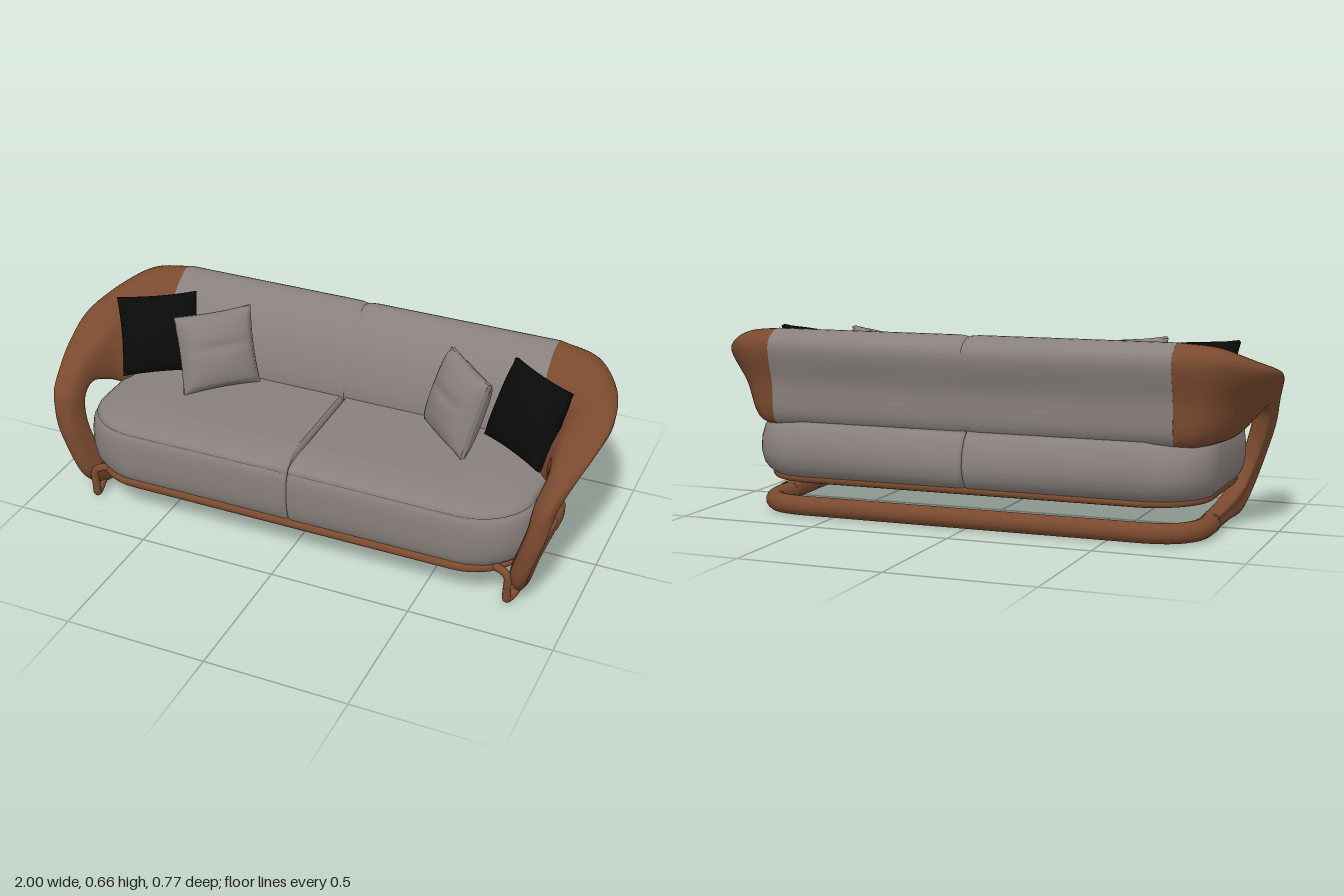
import * as THREE from 'three';

const mat = (name, color) => Object.assign(new THREE.MeshStandardMaterial({ color }), { name });
const V = (x, y, z) => new THREE.Vector3(x, y, z);

// Skin closed rings of points, cap both ends, and turn all faces outward
function loft(rings) {
  const n = rings[0].length, pos = [], idx = [];
  rings.forEach(r => r.forEach(p => pos.push(p.x, p.y, p.z)));
  for (let i = 0; i < rings.length - 1; i++) for (let j = 0; j < n; j++) {
    const a = i * n + j, b = i * n + (j + 1) % n;
    idx.push(a, b, b + n, a, b + n, a + n);
  }
  [rings[0], rings[rings.length - 1]].forEach((r, end) => {
    const s = pos.length / 3, c = V(0, 0, 0);
    r.forEach(p => { pos.push(p.x, p.y, p.z); c.addScaledVector(p, 1 / n); });
    pos.push(c.x, c.y, c.z);
    for (let j = 0; j < n; j++) {
      const a = s + j, b = s + (j + 1) % n;
      if (end) idx.push(a, b, s + n); else idx.push(b, a, s + n);
    }
  });
  const at = i => V(pos[3 * i], pos[3 * i + 1], pos[3 * i + 2]);
  let volume = 0;
  for (let i = 0; i < idx.length; i += 3) volume += at(idx[i]).dot(at(idx[i + 1]).cross(at(idx[i + 2])));
  if (volume < 0) idx.reverse();
  const g = new THREE.BufferGeometry();
  g.setAttribute('position', new THREE.Float32BufferAttribute(pos, 3));
  g.setIndex(idx);
  g.computeVertexNormals();
  return g;
}

// Horizontal rounded rectangle with its own corner radius at each x end
function planRing(x0, x1, z0, z1, r0, r1, y) {
  const pts = [];
  [[x1 - r1, z1 - r1, r1], [x0 + r0, z1 - r0, r0], [x0 + r0, z0 + r0, r0], [x1 - r1, z0 + r1, r1]]
    .forEach(([cx, cz, r], q) => {
      for (let i = 0; i <= 10; i++) {
        const a = (q + i / 10) * Math.PI / 2;
        pts.push(V(cx + r * Math.cos(a), y, cz + r * Math.sin(a)));
      }
    });
  return pts;
}

const closedSection = pts =>
  new THREE.CatmullRomCurve3(pts, true, 'centripetal').getPoints(36).slice(0, -1);

// Arm stations from the back, round the side, down the leg and along the base:
// outer lower edge xyz, outer upper edge xyz, top thickness, ridge height
const armStations = [
  [.72, .33, -.335, .72, .615, -.382, .215, .045],
  [.79, .33, -.30, .865, .61, -.337, .21, .036],
  [.845, .33, -.19, .96, .575, -.22, .185, .032],
  [.86, .33, 0, 1, .547, -.04, .16, .016],
  [.885, .368, .095, .985, .515, .10, .125, .013],
  [.91, .40, .19, .96, .475, .22, .09, .023],
  [.905, .375, .255, .93, .41, .32, .075, .04],
  [.89, .30, .28, .91, .32, .36, .06, .011],
  [.86, .20, .272, .875, .20, .355, .055, .011],
  [.835, .12, .225, .845, .10, .325, .055, .02],
  [.825, .09, .14, .83, .035, .22, .055, .035],
  [.822, .075, .06, .822, .03, .08, .06, .025],
  [.822, .066, -.12, .822, .03, -.12, .064, .025],
];

// Corners per station; the inward direction turns from forward to sideways
const armCorners = armStations.map(([bx, by, bz, tx, ty, tz, thick, lift], i) => {
  const turn = Math.min(Math.PI / 2, .4 * i);
  const inward = V(-Math.sin(turn), 0, Math.cos(turn));
  const low = V(bx, by, bz), high = V(tx, ty, tz);
  const innerLow = low.clone().addScaledVector(inward, Math.max(.055, .215 - .045 * i));
  const innerHigh = high.clone().addScaledVector(inward, thick);
  const up = high.clone().sub(low).normalize();
  const ridge = high.clone().lerp(innerHigh, .42).addScaledVector(up, lift);
  innerHigh.y -= .06 * Math.cos(turn);
  return [low, low.clone().lerp(high, .5), high, ridge, innerHigh, innerLow];
});

function armGeometry(side) {
  const rails = armCorners[0].map((_, k) => new THREE.CatmullRomCurve3(
    armCorners.map(c => V(side * c[k].x, c[k].y, c[k].z)), false, 'centripetal'));
  const rings = [];
  for (let i = 0; i <= 96; i++) rings.push(closedSection(rails.map(c => c.getPoint(i / 96))));
  return loft(rings);
}

// Backrest half: the arm's first section carried to the middle, pinched at the seam
function backGeometry(side) {
  const section = closedSection(armCorners[0]);
  return loft([[0, .965], [.008, .982], [.02, .993], [.045, 1], [.4, 1], [.722, 1]].map(([x, s]) =>
    section.map(p => V(side * x, .48 + (p.y - .48) * s, -.27 + (p.z + .27) * s))));
}

// Seat half: plan outlines stacked into a bulging base and a domed cushion
function seatGeometry(side) {
  const levels = [ // height, inset, back z
    [.135, .034, -.335], [.155, .018, -.36], [.18, .006, -.375], [.22, 0, -.385], [.27, 0, -.378],
    [.31, .005, -.36], [.328, .014, -.345], [.332, .023, -.34], [.337, .016, -.34],
    [.35, .03, -.33], [.362, .066, -.31], [.37, .128, -.27], [.375, .218, -.2]];
  return loft(levels.map(([y, inset, back]) => {
    const ring = planRing(inset * .06, .836 - inset, back, .383 - inset * .65, .012, .2, y);
    ring.forEach(p => { p.x *= side; });
    return ring;
  }));
}

// Square cushion: a thin box puffed up in the middle, with slightly drawn-in sides
function pillowGeometry(size, thick, fold) {
  const g = new THREE.BoxGeometry(2, 2, 2, 20, 20, 1), p = g.attributes.position;
  for (let i = 0; i < p.count; i++) {
    const u = p.getX(i), v = p.getY(i), s = Math.sign(p.getZ(i));
    const puff = Math.pow(Math.max(0, (1 - u * u) * (1 - v * v)), .4);
    const crease = fold * Math.exp(-Math.pow((v - .15) / .12, 2)) * (1 - u * u);
    p.setXYZ(i, u * size / 2 * (1 - .05 * (1 - v * v)), v * size / 2 * (1 - .05 * (1 - u * u)),
      s * (.008 + (thick / 2 - .008) * puff * (1 - crease)));
  }
  g.computeVertexNormals();
  return g;
}

const tube = (pts, r, steps) =>
  new THREE.TubeGeometry(new THREE.CatmullRomCurve3(pts, false, 'centripetal'), steps, r, 14);

export function createModel() {
  const brown = mat('brown leather', 0x7a4a2f);
  const grey = mat('grey fabric', 0x88807c);
  const black = mat('black fabric', 0x0a0a0a);
  const sofa = new THREE.Group();
  sofa.name = 'sofa';
  const add = (name, geometry, material) => {
    const m = new THREE.Mesh(geometry, material);
    m.name = name;
    sofa.add(m);
    return m;
  };

  // Tray under the seat, with a rounded rim and flat underside
  add('seatTray', loft([[.12, .016], [.123, .006], [.135, 0], [.145, .006], [.15, .016]].map(([y, d]) =>
    planRing(-.81 + d, .81 - d, -.35 + d, .383 - d, .2, .2, y))), brown);

  // Base rail running round the back
  const half = [V(.79, .038, -.1), V(.79, .038, -.18), V(.775, .038, -.25), V(.73, .038, -.305), V(.66, .038, -.332), V(.5, .038, -.336)];
  const railPath = [...half, ...half.slice().reverse().map(p => V(-p.x, p.y, p.z))];
  add('baseRail', tube(railPath, .035, 120), brown);

  for (const side of [1, -1]) {
    const label = side > 0 ? 'left' : 'right';
    add(label + 'Arm', armGeometry(side), brown);
    add(label + 'Backrest', backGeometry(side), grey);
    add(label + 'Seat', seatGeometry(side), grey);

    // Slim post from the tray to the foot of the arm
    const post = [V(.70, .136, .31), V(.765, .134, .33), V(.785, .115, .333), V(.785, .06, .332),
      V(.785, .025, .33), V(.79, .018, .31), V(.80, .025, .27), V(.80, .045, .24)];
    add(label + 'FrontPost', tube(post.map(p => V(side * p.x, p.y, p.z)), .014, 48), brown);

    // Scatter cushions turned towards the middle and leaning back
    const place = (m, x, y, z, yaw, lean) => {
      m.position.set(side * x, y, z);
      m.rotation.set(-lean, -side * yaw, 0, 'YXZ');
    };
    place(add(label + 'GreyPillow', pillowGeometry(.285, .135, .15), grey), .46, .507, -.03, .77, .33);
    place(add(label + 'BlackPillow', pillowGeometry(.29, .13, 0), black), .705, .51, -.05, .58, .42);
  }
  return sofa;
}
